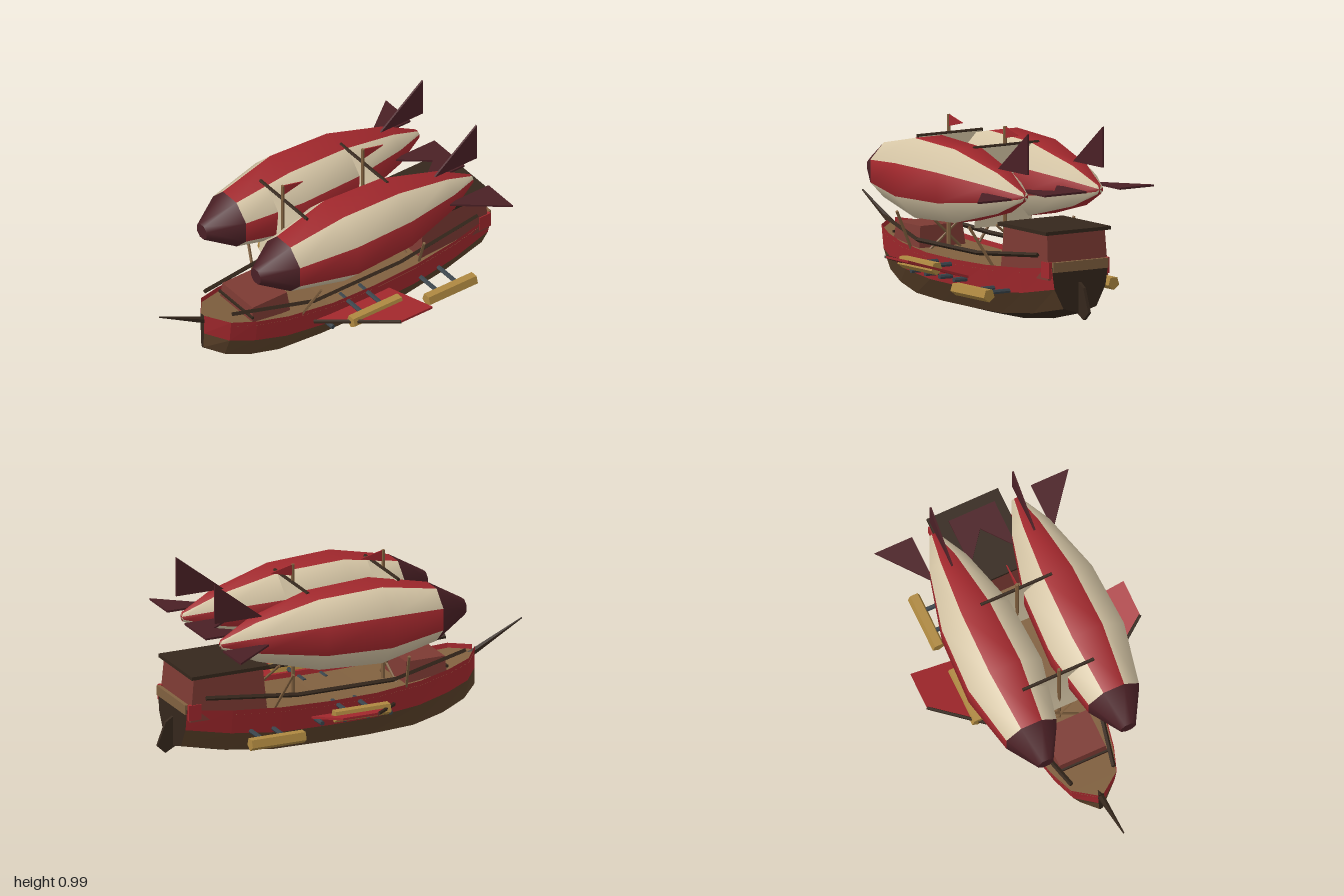
import * as THREE from 'three';

const mat = (name, color, side = THREE.FrontSide, flat = true) => {
  const m = new THREE.MeshStandardMaterial({ color, side, flatShading: flat });
  m.name = name;
  return m;
};
const red = mat('red', 0xa3282d, THREE.DoubleSide, false);
const cream = mat('cream', 0xd6c6a6, THREE.DoubleSide, false);
const maroon = mat('maroon', 0x4a2025, THREE.DoubleSide, false);
const darkWood = mat('dark wood', 0x35271c);
const hullBrown = mat('hull brown', 0x5c422a);
const deckWood = mat('deck wood', 0x80603f);
const cabinRed = mat('cabin red', 0x7c3a33);
const gold = mat('gold', 0xae8840);
const steel = mat('steel', 0x3a444b);

export function createModel() {
  const root = new THREE.Group();
  root.name = 'airship';
  const add = (name, geo, material) => {
    const m = new THREE.Mesh(geo, material);
    m.name = name;
    root.add(m);
    return m;
  };
  const V = (p) => new THREE.Vector3(...p);

  // Straight rod between two points
  const rod = (name, a, b, r0, r1, sides, material) => {
    const d = V(b).sub(V(a));
    const m = add(name, new THREE.CylinderGeometry(r1, r0, d.length(), sides), material);
    m.position.copy(V(a)).addScaledVector(d, 0.5);
    m.quaternion.setFromUnitVectors(new THREE.Vector3(0, 1, 0), d.normalize());
    return m;
  };
  const shapeOf = (pts) => new THREE.Shape(pts.map((p) => new THREE.Vector2(...p)));
  const slab = (pts, t) =>
    new THREE.ExtrudeGeometry(shapeOf(pts), { depth: t, bevelEnabled: false }).translate(0, 0, -t / 2);
  // Upright plate from [z, y] points, flat plate from [x, z] points
  const uprightPlate = (pts, t) => slab(pts, t).rotateY(-Math.PI / 2);
  const flatPlate = (pts, t) => slab(pts, t).rotateX(Math.PI / 2);
  // Box whose top is drawn in
  const taperedBox = (w, h, d, inX, inZ) => {
    const g = new THREE.BoxGeometry(w, h, d), p = g.attributes.position;
    for (let i = 0; i < p.count; i++) {
      if (p.getY(i) > 0) p.setXYZ(i, p.getX(i) * inX, p.getY(i), p.getZ(i) * inZ);
    }
    g.computeVertexNormals();
    return g;
  };
  const facets = (tris) => {
    const g = new THREE.BufferGeometry();
    g.setAttribute('position', new THREE.Float32BufferAttribute(tris.flat(), 3));
    g.computeVertexNormals();
    return g;
  };

  // Hull stations: z, half width, sheer, paint line, chine, keel
  const stations = [
    [0.735, 0.015, 0.367, 0.255, 0.165, 0.16],
    [0.65, 0.125, 0.352, 0.232, 0.125, 0.115],
    [0.52, 0.17, 0.328, 0.2, 0.078, 0.06],
    [0.35, 0.205, 0.305, 0.17, 0.045, 0.012],
    [0.1, 0.23, 0.288, 0.152, 0.038, 0.002],
    [-0.15, 0.235, 0.285, 0.15, 0.038, 0],
    [-0.42, 0.228, 0.29, 0.152, 0.04, 0.004],
    [-0.68, 0.205, 0.305, 0.178, 0.07, 0.035],
    [-0.915, 0.17, 0.33, 0.22, 0.118, 0.09],
  ];
  const sections = stations.map(([z, w, s, m, c, k]) => [
    [-w, s, z], [-0.9 * w, m, z], [-0.58 * w, c, z], [0, k, z],
    [0.58 * w, c, z], [0.9 * w, m, z], [w, s, z],
  ]);
  const strakes = (cols) => {
    const t = [];
    for (let i = 0; i < sections.length - 1; i++) {
      for (const k of cols) {
        const a = sections[i][k], b = sections[i + 1][k], c = sections[i + 1][k + 1], d = sections[i][k + 1];
        t.push(a, b, c, a, c, d);
      }
    }
    return facets(t);
  };
  add('bulwark', strakes([0, 5]), red);
  add('hullSides', strakes([1, 4]), hullBrown);
  add('hullBottom', strakes([2, 3]), darkWood);
  const stern = sections[sections.length - 1], bow = sections[0], transom = [], stem = [];
  for (let k = 1; k < 6; k++) {
    transom.push(stern[0], stern[k + 1], stern[k]);
    stem.push(bow[0], bow[k], bow[k + 1]);
  }
  add('transom', facets(transom), darkWood);
  add('stem', facets(stem), darkWood);
  const deck = [];
  for (let i = 0; i < stations.length - 1; i++) {
    const edge = ([z, w, s], side) => [side * w * 0.985, s - 0.025, z];
    const a = edge(stations[i], -1), b = edge(stations[i + 1], -1);
    const c = edge(stations[i + 1], 1), d = edge(stations[i], 1);
    deck.push(a, c, b, a, d, c);
  }
  add('deck', facets(deck), deckWood);

  // Bowsprit and rudder
  rod('bowsprit', [0, 0.315, 0.7], [0, 0.472, 1], 0.02, 0.004, 6, darkWood);
  add('rudder', uprightPlate([[-0.9, 0.255], [-0.955, 0.22], [-1, 0.1], [-0.957, 0.06], [-0.9, 0.09]], 0.016), darkWood);

  // Cabins
  add('sternCabin', taperedBox(0.36, 0.23, 0.42, 0.96, 0.9), cabinRed).position.set(0, 0.38, -0.69);
  add('sternCabinRoof', new THREE.BoxGeometry(0.39, 0.018, 0.425), darkWood).position.set(0, 0.5, -0.688);
  add('sternBoard', new THREE.BoxGeometry(0.33, 0.05, 0.02), deckWood).position.set(0, 0.33, -0.914);
  add('foreCabin', taperedBox(0.28, 0.125, 0.235, 0.9, 0.9), cabinRed).position.set(0, 0.323, 0.412);
  add('foreCabinTrim', new THREE.BoxGeometry(0.28, 0.012, 0.012), darkWood).position.set(0, 0.333, 0.526);

  // Masts, yards, sails and pennants
  for (const z of [0.24, -0.255]) {
    rod('mast', [0, 0.25, z], [0, 0.945, z], 0.011, 0.009, 6, deckWood);
    rod('yard', [-0.195, 0.853, z - 0.008], [0.195, 0.853, z - 0.008], 0.009, 0.009, 6, darkWood);
    const sail = new THREE.PlaneGeometry(1, 1, 1, 6), p = sail.attributes.position;
    for (let i = 0; i < p.count; i++) {
      const t = 0.5 - p.getY(i);
      p.setXYZ(i, p.getX(i) * (0.38 - 0.04 * t), 0.85 - 0.405 * t, z - 0.015 + 0.035 * t * t);
    }
    sail.computeVertexNormals();
    add('sail', sail, cream);
    add('pennant', uprightPlate([[z, 0.945], [z - 0.125, 0.915], [z, 0.885]], 0.006), red);
  }

  // Balloon profile: apothem, z, from tail to nose joint
  const corner = 1 / Math.cos(Math.PI / 8);
  const profile = [[0, -0.758], [0.022, -0.755], [0.102, -0.58], [0.185, -0.255], [0.2, 0.09], [0.137, 0.4]]
    .map(([r, z]) => new THREE.Vector2(r * corner, z));
  const balloonGeo = new THREE.LatheGeometry(profile, 8, Math.PI / 8);
  const rows = profile.length - 1;
  for (let i = 0; i < 8; i++) balloonGeo.addGroup(i * rows * 6, rows * 6, i % 2 ? 0 : 1);
  balloonGeo.rotateX(Math.PI / 2);
  const noseGeo = new THREE.CylinderGeometry(0.04 * corner, 0.137 * corner, 0.172, 8, 1, false, Math.PI / 8)
    .rotateX(Math.PI / 2);

  for (const s of [-1, 1]) {
    const bx = 0.225 * s, by = 0.67;
    add('balloon', balloonGeo, [red, cream]).position.set(bx, by, 0);
    add('balloonNose', noseGeo, maroon).position.set(bx, by, 0.486);

    // Tail fins
    const fin = [[0.1, -0.53], [0.305, -0.79], [0.1, -0.79]];
    add('uprightFin', uprightPlate(fin.map(([r, z]) => [z, r]), 0.01), maroon).position.set(bx, by + 0.015, 0);
    for (const f of [-1, 1]) {
      add('sideFin', flatPlate(fin.map(([r, z]) => [r * f, z]), 0.01), maroon).position.set(bx, by, 0);
    }

    // Struts carrying the balloons
    for (const [z0, z1] of [[0.27, 0.235], [-0.45, -0.4]]) {
      rod('outerStrut', [0.205 * s, 0.285, z0], [0.315 * s, 0.485, z1], 0.008, 0.008, 5, deckWood);
      rod('innerStrut', [-0.1 * s, 0.265, z0], [0.15 * s, 0.48, z1], 0.007, 0.007, 5, deckWood);
    }

    // Handrail
    const rail = [[0.115, 0.393, 0.635], [0.215, 0.338, 0.2], [0.215, 0.338, -0.33], [0.19, 0.385, -0.82]];
    for (let i = 0; i < 3; i++) {
      const [a, b] = [rail[i], rail[i + 1]].map(([x, y, z]) => [x * s, y, z]);
      rod('handrail', a, b, 0.012, 0.012, 4, darkWood);
    }
    add('sternPost', new THREE.BoxGeometry(0.02, 0.08, 0.07), red).position.set(0.172 * s, 0.315, -0.875);

    // Sloping side wing with a dark leading edge
    const wing = flatPlate([[0.21, 0.2], [0.582, -0.06], [0.582, -0.255], [0.21, -0.255]].map(([x, z]) => [x * s, z]), 0.012);
    const p = wing.attributes.position;
    for (let i = 0; i < p.count; i++) p.setY(i, p.getY(i) + 0.205 + (Math.abs(p.getX(i)) - 0.21) * 0.295);
    wing.computeVertexNormals();
    add('wing', wing, red);
    rod('wingEdge', [0.21 * s, 0.206, 0.2], [0.582 * s, 0.315, -0.06], 0.011, 0.009, 5, darkWood);

    // Gold pods on steel outriggers
    for (const [y, zFront, zBack] of [[0.257, 0.095, -0.205], [0.178, -0.37, -0.665]]) {
      rod('pod', [0.374 * s, y, zBack], [0.374 * s, y, zFront], 0.034, 0.034, 5, gold);
      for (const t of [0.3, 0.7]) {
        const z = zBack + (zFront - zBack) * t;
        rod('outrigger', [0.16 * s, y, z], [0.36 * s, y, z], 0.012, 0.012, 6, steel);
      }
    }

    // Side cannons
    for (let i = 0; i < 4; i++) {
      const z = 0.145 - i * 0.125;
      rod('cannon', [0.18 * s, 0.196, z], [0.292 * s, 0.196, z], 0.014, 0.012, 8, steel);
    }
  }
  return root;
}
